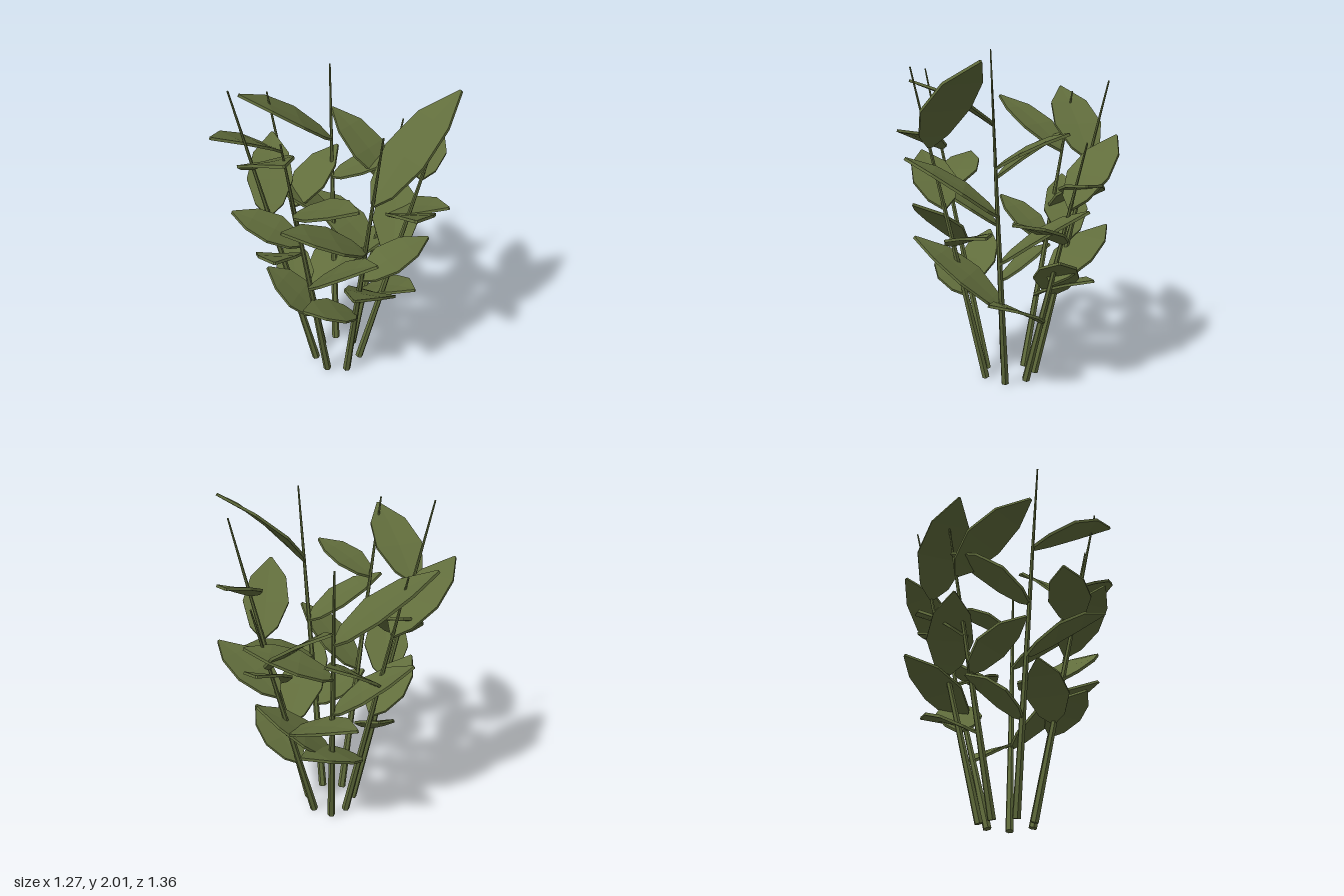
import * as THREE from 'three';

// Each stem: base x,z, tip x,y,z, then its four alternating leaves from the
// top down as [height on the stem, leaf tip x, y, z].
const STEMS = [
  { base: [-0.02, -0.17], tip: [-0.10, 1.74, -0.60], leaves: [
    [1.37, -0.60, 1.68, -0.39], [1.01, 0.34, 1.29, -0.49],
    [0.80, -0.42, 1.05, -0.27], [0.46, 0.42, 0.67, -0.36]] },
  { base: [0.09, -0.17], tip: [0.31, 1.84, -0.53], leaves: [
    [1.38, -0.27, 1.75, -0.64], [1.14, 0.62, 1.32, -0.11],
    [0.88, -0.18, 1.19, -0.59], [0.53, 0.51, 0.87, -0.02]] },
  { base: [0.15, -0.06], tip: [0.58, 1.55, -0.14], leaves: [
    [1.16, 0.35, 1.52, -0.57], [0.95, 0.56, 1.16, 0.34],
    [0.68, 0.22, 0.93, -0.63], [0.42, 0.33, 0.64, 0.34]] },
  { base: [0.11, 0.07], tip: [0.43, 1.88, 0.38], leaves: [
    [1.42, 0.635, 1.62, 0.03], [1.14, 0.005, 1.465, 0.665],
    [0.84, 0.58, 1.16, -0.17], [0.54, -0.25, 0.93, 0.48]] },
  { base: [-0.03, 0.12], tip: [-0.13, 1.94, 0.54], leaves: [
    [1.49, 0.45, 2.0, 0.46], [1.12, -0.555, 1.38, 0.24],
    [0.89, 0.37, 1.05, 0.38], [0.57, -0.41, 0.74, 0.20]] },
  { base: [-0.13, 0.04], tip: [-0.52, 1.89, 0.22], leaves: [
    [1.41, -0.28, 1.57, 0.55], [1.17, -0.62, 1.32, -0.17],
    [0.82, -0.14, 1.16, 0.54], [0.56, -0.41, 0.83, -0.18]] },
  { base: [-0.13, -0.09], tip: [-0.53, 1.99, -0.27], leaves: [
    [1.51, -0.56, 1.82, 0.31], [1.18, -0.10, 1.49, -0.56],
    [0.88, -0.58, 1.17, 0.20], [0.53, -0.08, 0.77, -0.42]] },
];

// Leaf outline: [fraction along the leaf, fraction of half width]
const OUTLINE = [[0, 0.1], [0.12, 0.6], [0.4, 1], [0.72, 0.78], [1, 0.04]];
const THICKNESS = 0.016;
const UP = new THREE.Vector3(0, 1, 0);

// Thin arched blade running from one point to another, its width level
function leafGeometry(from, to) {
  const along = to.clone().sub(from);
  const length = along.length();
  const dir = along.clone().normalize();
  const side = dir.clone().cross(UP).normalize();
  const normal = side.clone().cross(dir);
  const half = 0.085 + 0.094 * length;
  const positions = [];
  for (const [u, w] of OUTLINE) {
    const centre = from.clone().addScaledVector(along, u)
      .addScaledVector(normal, 0.22 * length * u * (1 - u));
    // Ring of six: over the top from side to side, then back underneath
    for (const [s, n] of [[-1, 1], [0, 1], [1, 1], [1, -1], [0, -1], [-1, -1]]) {
      const fold = s === 0 ? -0.05 * half * w : 0;
      const p = centre.clone().addScaledVector(side, s * half * w)
        .addScaledVector(normal, n * THICKNESS / 2 + fold);
      positions.push(p.x, p.y, p.z);
    }
  }
  const index = [];
  const last = (OUTLINE.length - 1) * 6;
  for (let r = 0; r < last; r += 6) {
    for (let i = 0; i < 6; i++) {
      const j = (i + 1) % 6;
      index.push(r + i, r + j, r + 6 + j, r + i, r + 6 + j, r + 6 + i);
    }
  }
  for (let i = 1; i < 5; i++) {
    index.push(0, i + 1, i, last, last + i, last + i + 1);
  }
  const indexed = new THREE.BufferGeometry();
  indexed.setAttribute('position', new THREE.Float32BufferAttribute(positions, 3));
  indexed.setIndex(index);
  const geometry = indexed.toNonIndexed();
  geometry.computeVertexNormals();
  return geometry;
}

export function createModel() {
  const plant = new THREE.Group();
  plant.name = 'leafyPlant';
  const green = new THREE.MeshStandardMaterial({ color: 0x616d3c });
  green.name = 'leafGreen';
  green.flatShading = true;

  STEMS.forEach(({ base, tip, leaves }, k) => {
    const shoot = new THREE.Group();
    shoot.name = `shoot${k + 1}`;
    const bottom = new THREE.Vector3(base[0], 0.005, base[1]);
    const top = new THREE.Vector3(...tip);
    const axis = top.clone().sub(bottom);

    // Tapered six-sided stem
    const stem = new THREE.Mesh(
      new THREE.CylinderGeometry(0.005, 0.025, axis.length(), 6), green);
    stem.name = 'stem';
    stem.position.copy(bottom).addScaledVector(axis, 0.5);
    stem.quaternion.setFromUnitVectors(UP, axis.clone().normalize());
    shoot.add(stem);

    // Leaves alternate from side to side up the stem
    leaves.forEach(([height, x, y, z], i) => {
      const from = bottom.clone().lerp(top, height / tip[1]);
      const leaf = new THREE.Mesh(leafGeometry(from, new THREE.Vector3(x, y, z)), green);
      leaf.name = `leaf${i + 1}`;
      shoot.add(leaf);
    });
    plant.add(shoot);
  });
  return plant;
}
